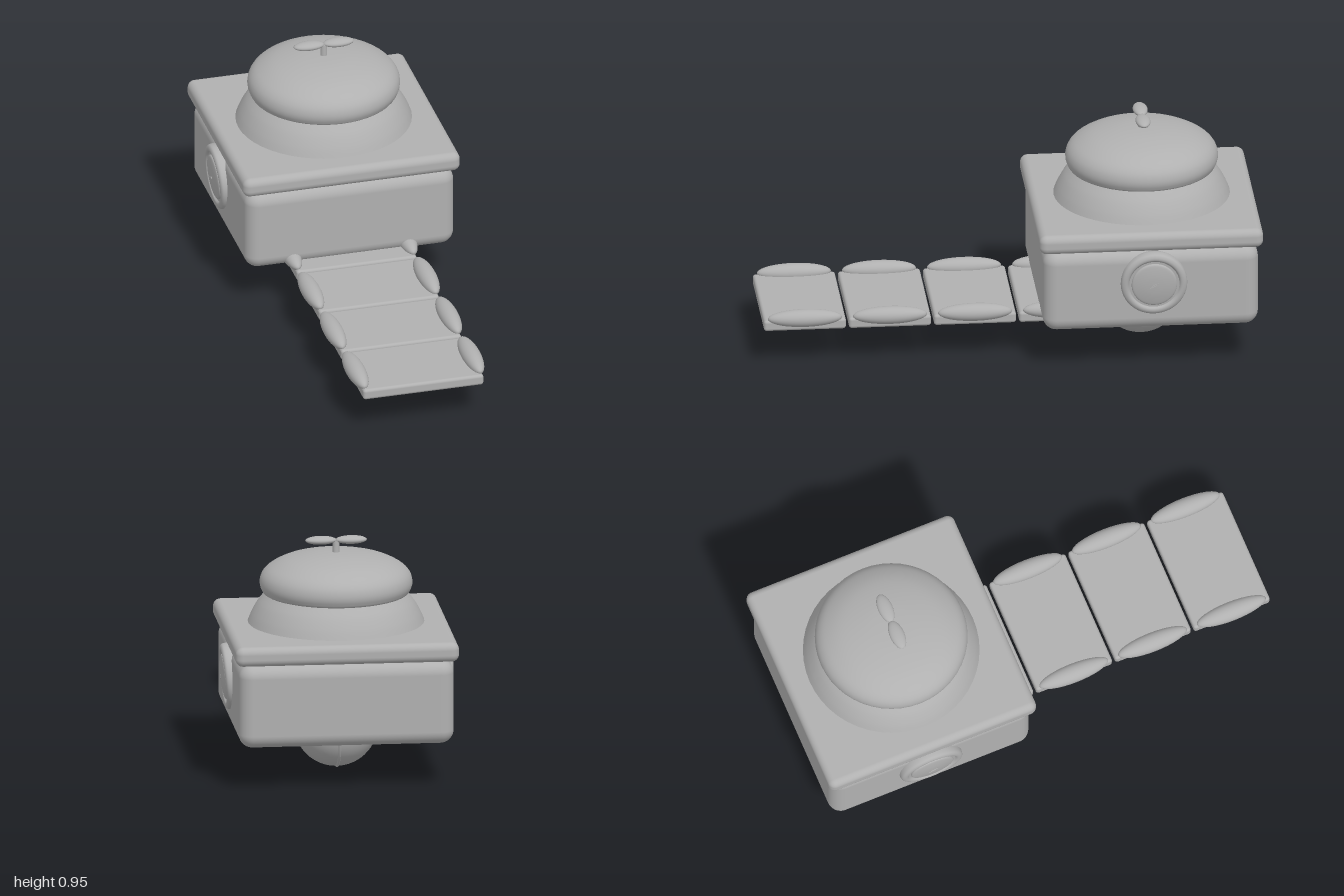
import * as THREE from 'three';
import { RoundedBoxGeometry } from 'three/addons/geometries/RoundedBoxGeometry.js';

const grey = new THREE.MeshStandardMaterial({ color: 0xb0b0b0 });
grey.name = 'plain grey';

const CZ = -0.55; // centre of the body along z

function add(parent, name, geometry, x = 0, y = 0, z = 0) {
  const mesh = new THREE.Mesh(geometry, grey);
  mesh.name = name;
  mesh.position.set(x, y, z);
  parent.add(mesh);
  return mesh;
}

function ellipsoid(rx, ry, rz) {
  return new THREE.SphereGeometry(1, 32, 20).scale(rx, ry, rz);
}

// Turns a smooth curve through [radius, height] points
function turned(points, steps = 24) {
  const curve = new THREE.SplineCurve(points.map(p => new THREE.Vector2(...p)));
  const profile = curve.getPoints(steps);
  profile.forEach(p => { p.x = Math.max(p.x, 0); });
  return new THREE.LatheGeometry(profile, 48);
}

// Round side dial, built facing +x and leaning slightly downward
function dial(side) {
  const holder = new THREE.Group();
  holder.name = side > 0 ? 'leftDial' : 'rightDial';
  holder.position.z = -0.56;
  holder.rotation.y = side > 0 ? 0 : Math.PI;
  const face = new THREE.Group();
  face.name = 'dialFace';
  face.position.set(0.447, 0.387, 0);
  face.rotation.z = -Math.PI / 2 - 0.08;
  holder.add(face);
  add(face, 'dialRim', turned([[0.125, -0.05], [0.134, -0.025], [0.133, 0.002],
    [0.122, 0.012], [0.109, 0.012], [0.1, 0.002]]));
  add(face, 'dialGroove', new THREE.CylinderGeometry(0.104, 0.104, 0.02, 48), 0, -0.006);
  add(face, 'dialCap', turned([[0.092, 0], [0.09, 0.01], [0.075, 0.015], [0.04, 0.02], [0, 0.022]]));
  // two short marks at the centre
  for (const s of [-1, 1]) {
    const mark = add(face, 'dialMark', new THREE.BoxGeometry(0.004, 0.005, 0.03), s * 0.005, 0.021, s * 0.004);
    mark.rotation.y = 0.4;
  }
  return holder;
}

export function createModel() {
  const model = new THREE.Group();
  model.name = 'domedBoxOnPath';

  // Box and its overhanging lid
  add(model, 'body', new RoundedBoxGeometry(0.87, 0.345, 0.87, 6, 0.055), 0, 0.3525, CZ);
  add(model, 'lid', new RoundedBoxGeometry(0.905, 0.08, 0.905, 5, 0.03), 0, 0.565, CZ);
  model.add(dial(1), dial(-1));

  // Dome collar and cap
  add(model, 'domeCollar', turned([[0.358, 0.6], [0.34, 0.642], [0.315, 0.685], [0.285, 0.722]]), 0, 0, CZ);
  add(model, 'domeCap', turned([[0.2, 0.721], [0.282, 0.722], [0.302, 0.74], [0.308, 0.77], [0.297, 0.804],
    [0.265, 0.834], [0.2, 0.864], [0.1, 0.884], [0, 0.889]], 40), 0, 0, CZ);

  // Propeller
  add(model, 'propellerStem', new THREE.CylinderGeometry(0.013, 0.014, 0.06, 20), 0, 0.908, CZ);
  for (const s of [-1, 1]) {
    add(model, 'propellerBlade', ellipsoid(0.0635, 0.017, 0.03), s * 0.0615, 0.938, CZ);
  }

  // Ball under the body with a fine seam
  add(model, 'ball', new THREE.SphereGeometry(0.17, 48, 32), 0, 0.175, -0.543);
  const seam = add(model, 'ballSeam', new THREE.TorusGeometry(0.168, 0.006, 10, 64), 0, 0.174, -0.543);
  seam.rotation.y = Math.PI / 2;

  // Row of path plates with a bolster on each side
  for (let i = 0; i < 5; i++) {
    const segment = new THREE.Group();
    segment.name = 'pathSegment' + (i + 1);
    segment.position.z = 0.834 - i * 0.344;
    add(segment, 'plate', new RoundedBoxGeometry(0.502, 0.046, 0.332, 4, 0.012), 0, 0.178, 0);
    for (const s of [-1, 1]) {
      add(segment, 'bolster', ellipsoid(0.039, 0.036, 0.15), s * 0.241, 0.206, 0);
    }
    model.add(segment);
  }
  return model;
}
